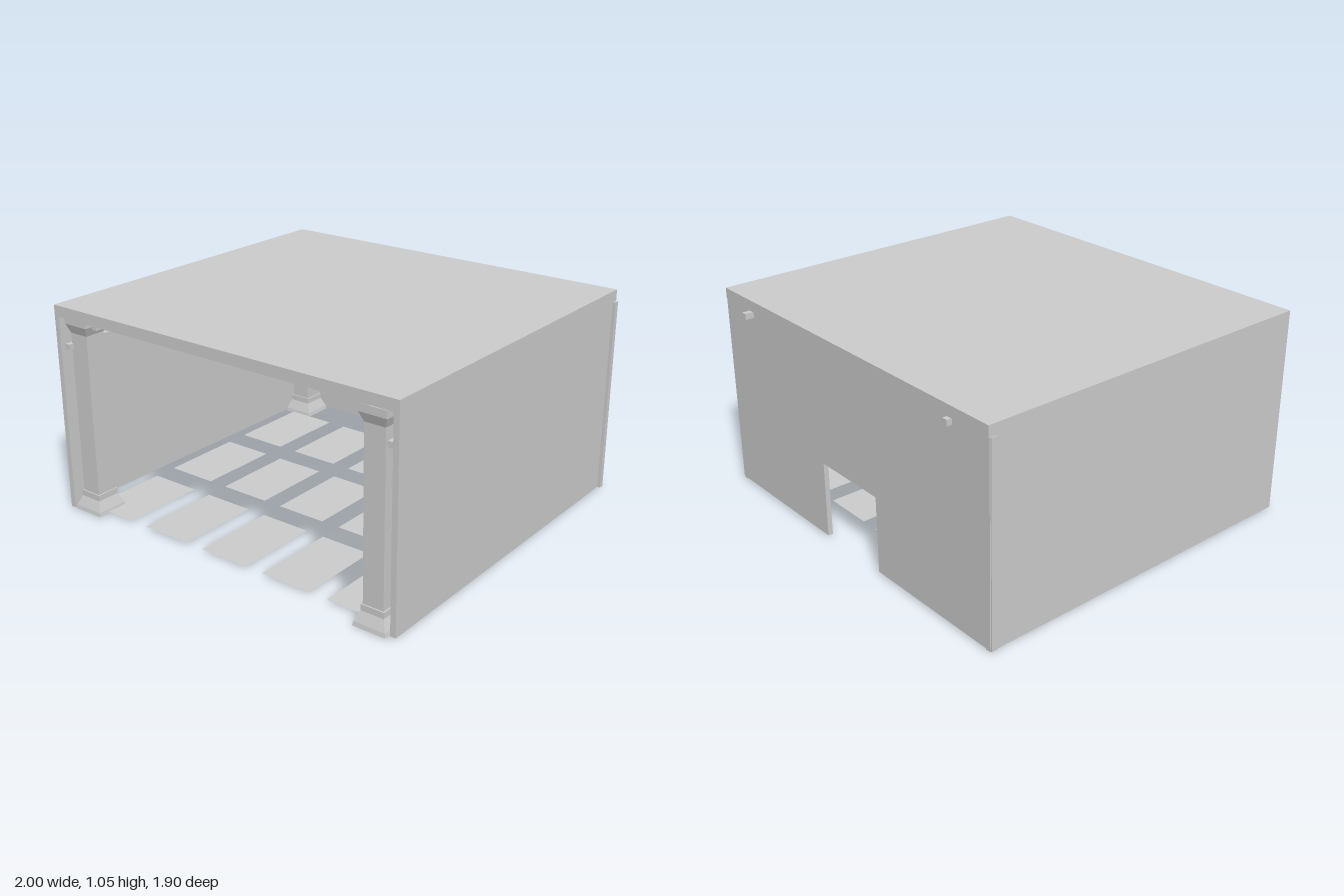
import * as THREE from 'three';

const grey = new THREE.MeshStandardMaterial({ color: 0xcccccc, flatShading: true, side: THREE.DoubleSide });
const smooth = new THREE.MeshStandardMaterial({ color: 0xcccccc, side: THREE.DoubleSide });

// Box given by its low and high corners
function box(parent, name, [x0, y0, z0], [x1, y1, z1]) {
  const mesh = new THREE.Mesh(new THREE.BoxGeometry(x1 - x0, y1 - y0, z1 - z0), grey);
  mesh.name = name;
  mesh.position.set((x0 + x1) / 2, (y0 + y1) / 2, (z0 + z1) / 2);
  parent.add(mesh);
  return mesh;
}

// Square column: half widths at rising heights, turned with four sides
function column(name, x, z) {
  const profile = [
    [0.085, 0], [0.081, 0.02], [0.06, 0.07], [0.06, 0.1], [0.053, 0.1],
    [0.053, 0.92], [0.07, 0.965], [0.07, 1.0],
  ].map(([r, y]) => new THREE.Vector2(r * Math.SQRT2, y));
  const mesh = new THREE.Mesh(new THREE.LatheGeometry(profile, 4, Math.PI / 4), grey);
  mesh.name = name;
  mesh.position.set(x, 0, z);
  return mesh;
}

// Hanging lamp: stem, cap and three tulip shades leaning outward
function lamp() {
  const group = new THREE.Group();
  group.name = 'ceilingLamp';
  const stem = new THREE.Mesh(new THREE.CylinderGeometry(0.022, 0.022, 0.05, 12), smooth);
  stem.name = 'lampStem';
  stem.position.y = 0.98;
  const cap = new THREE.Mesh(new THREE.CylinderGeometry(0.035, 0.04, 0.035, 12), smooth);
  cap.name = 'lampCap';
  cap.position.y = 0.95;
  group.add(stem, cap);

  const profile = [[0.012, -0.23], [0.036, -0.215], [0.054, -0.16], [0.06, -0.11], [0.052, -0.05], [0.032, 0]]
    .map(([r, y]) => new THREE.Vector2(r, y));
  const shadeGeometry = new THREE.LatheGeometry(profile, 10);
  for (let i = 0; i < 3; i++) {
    const arm = new THREE.Group();
    arm.rotation.y = (i * Math.PI * 2) / 3;
    const shade = new THREE.Mesh(shadeGeometry, grey);
    shade.name = 'lampShade';
    shade.position.set(0, 0.945, 0.025);
    shade.rotation.x = -0.6;
    arm.add(shade);
    group.add(arm);
  }
  group.position.x = 0.02;
  return group;
}

export function createModel() {
  const room = new THREE.Group();
  room.name = 'room';

  // Roof and side walls
  box(room, 'roof', [-0.995, 1.0, -0.91], [0.985, 1.055, 0.925]);
  box(room, 'rightWall', [-0.995, 0.005, -0.905], [-0.967, 1.0, 0.925]);
  box(room, 'leftWall', [0.957, 0.005, -0.905], [0.985, 1.0, 0.925]);

  // Back wall with a doorway cut from its lower edge
  const outline = new THREE.Shape([
    [-0.97, 0.01], [-0.21, 0.01], [-0.21, 0.4], [0.205, 0.4],
    [0.205, 0.01], [0.96, 0.01], [0.96, 1.0], [-0.97, 1.0],
  ].map(([x, y]) => new THREE.Vector2(x, y)));
  const backWall = new THREE.Mesh(new THREE.ExtrudeGeometry(outline, { depth: 0.025, bevelEnabled: false }), grey);
  backWall.name = 'backWall';
  backWall.position.z = -0.905;
  room.add(backWall);
  box(room, 'lintel', [-0.24, 0.4, -0.895], [0.24, 0.43, -0.85]);

  // Back corner posts
  box(room, 'rightCornerPost', [-1.0, 0.005, -0.9], [-0.965, 1.0, -0.872]);
  box(room, 'leftCornerPost', [0.96, 0.005, -0.9], [1.0, 1.0, -0.872]);

  // Thin rails running the depth of the room
  box(room, 'rightCeilingRail', [-0.767, 0.97, -0.932], [-0.74, 1.0, 0.9]);
  box(room, 'leftCeilingRail', [0.74, 0.97, -0.95], [0.768, 1.0, 0.88]);
  for (const x of [-0.935, 0.937]) {
    box(room, 'wallRail', [x - 0.013, 0.84, -0.905], [x + 0.013, 0.868, 0.915]);
  }

  // Columns in the four corners
  room.add(
    column('frontRightColumn', -0.88, 0.835),
    column('frontLeftColumn', 0.862, 0.862),
    column('backRightColumn', -0.88, -0.79),
    column('backLeftColumn', 0.862, -0.79),
  );

  // Floor slabs, paper thin
  const slabGeometry = new THREE.PlaneGeometry(0.27, 0.44).rotateX(-Math.PI / 2);
  for (let row = 0; row < 3; row++) {
    for (let col = 0; col < 5; col++) {
      const slab = new THREE.Mesh(slabGeometry, grey);
      slab.name = 'floorSlab';
      slab.position.set(-0.77 + col * 0.37, 0.008, 0.64 - row * 0.56);
      room.add(slab);
    }
  }

  room.add(lamp());
  return room;
}
